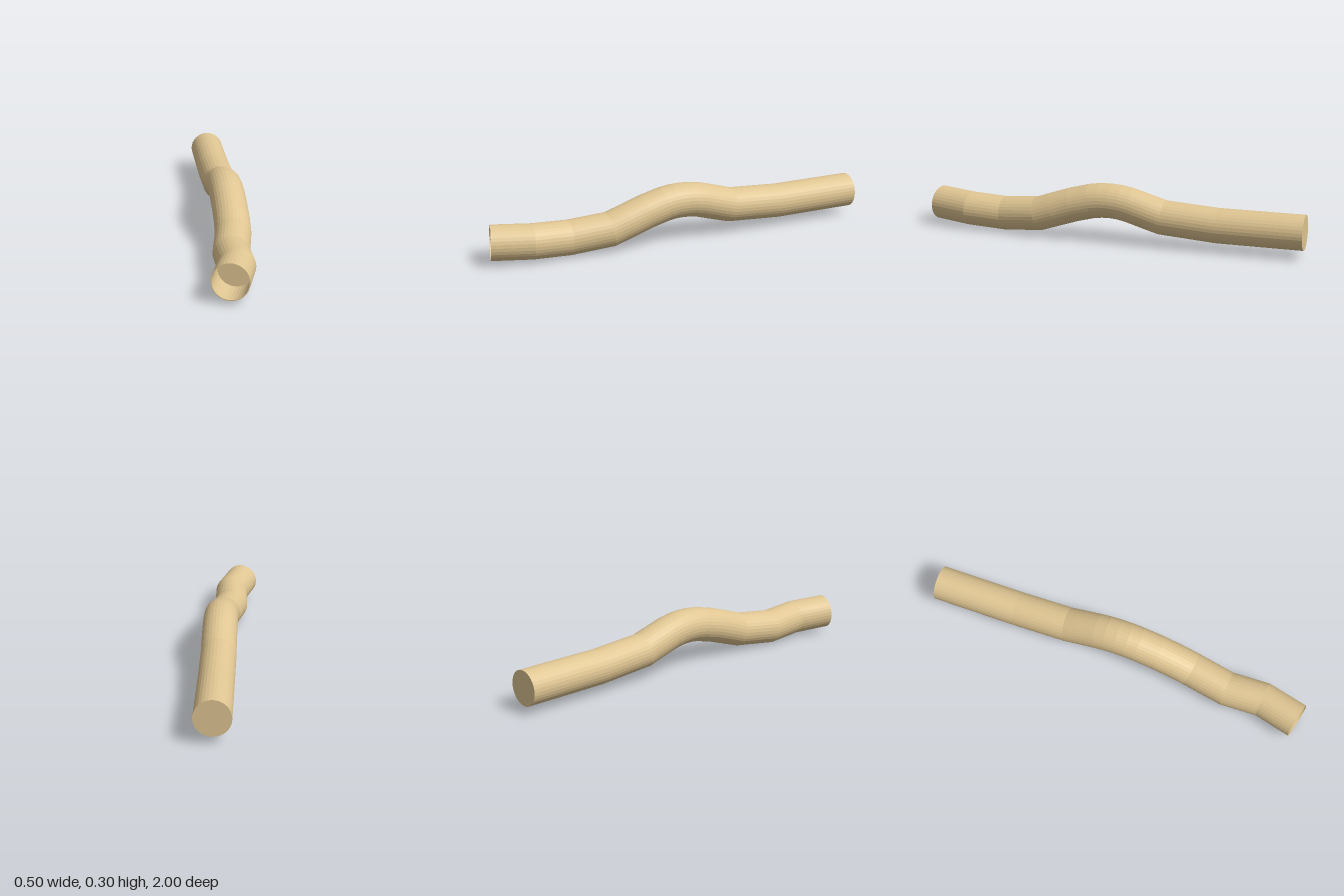
import * as THREE from 'three';

const SIDES = 32, R = 0.0895, BORE = 0.085;

// Centreline of the pipe, from back to front
const path = [
  [-0.163, 0.127, -0.982], [-0.076, 0.127, -0.55], [-0.02, 0.146, -0.27],
  [-0.005, 0.167, -0.2], [0.015, 0.197, -0.1], [0.025, 0.207, -0.05], [0.035, 0.211, 0],
  [0.045, 0.210, 0.05], [0.055, 0.203, 0.1], [0.075, 0.177, 0.2], [0.094, 0.143, 0.3],
  [0.108, 0.112, 0.39], [0.117, 0.09, 0.6], [0.158, 0.101, 0.79], [0.146, 0.108, 0.994],
].map((p) => new THREE.Vector3(...p));

// Ring of points square to the given direction
function ring(centre, dir, r) {
  const side = new THREE.Vector3(0, 1, 0).cross(dir).normalize();
  const up = dir.clone().cross(side);
  return Array.from({ length: SIDES }, (_, j) => {
    const a = (j / SIDES) * Math.PI * 2;
    return centre.clone().addScaledVector(side, r * Math.cos(a)).addScaledVector(up, r * Math.sin(a));
  });
}

// Skin joining successive rings
function loft(rings) {
  const pos = [], idx = [];
  rings.flat().forEach((p) => pos.push(p.x, p.y, p.z));
  for (let i = 0; i < rings.length - 1; i++) {
    for (let j = 0; j < SIDES; j++) {
      const k = (j + 1) % SIDES;
      const a = i * SIDES + j, b = i * SIDES + k, c = b + SIDES, d = a + SIDES;
      idx.push(a, b, c, a, c, d);
    }
  }
  const g = new THREE.BufferGeometry();
  g.setAttribute('position', new THREE.Float32BufferAttribute(pos, 3));
  g.setIndex(idx);
  g.computeVertexNormals();
  return g;
}

export function createModel() {
  const group = new THREE.Group();
  group.name = 'bentPipe';
  const material = new THREE.MeshStandardMaterial({ color: 0xdfc592, flatShading: true });
  const add = (name, rings) => {
    const mesh = new THREE.Mesh(loft(rings), material);
    mesh.name = name;
    group.add(mesh);
  };

  // Each joint is mitred between its two neighbouring directions
  const last = path.length - 1;
  const step = (i) => path[i + 1].clone().sub(path[i]).normalize();
  const dirs = path.map((_, i) =>
    step(Math.max(i - 1, 0)).add(step(Math.min(i, last - 1))).normalize());

  add('pipeWall', path.map((p, i) => ring(p, dirs[i], R)));

  // Flat closed end at the back
  add('backCap', [ring(path[0], dirs[0], 0), ring(path[0], dirs[0], R)]);

  // Open front end: thin rim, short bore and its floor
  const end = path[last], dir = dirs[last];
  const floor = end.clone().addScaledVector(dir, -0.17);
  add('frontRim', [ring(end, dir, R), ring(end, dir, BORE)]);
  add('bore', [ring(end, dir, BORE), ring(floor, dir, BORE)]);
  add('boreFloor', [ring(floor, dir, BORE), ring(floor, dir, 0)]);

  return group;
}
